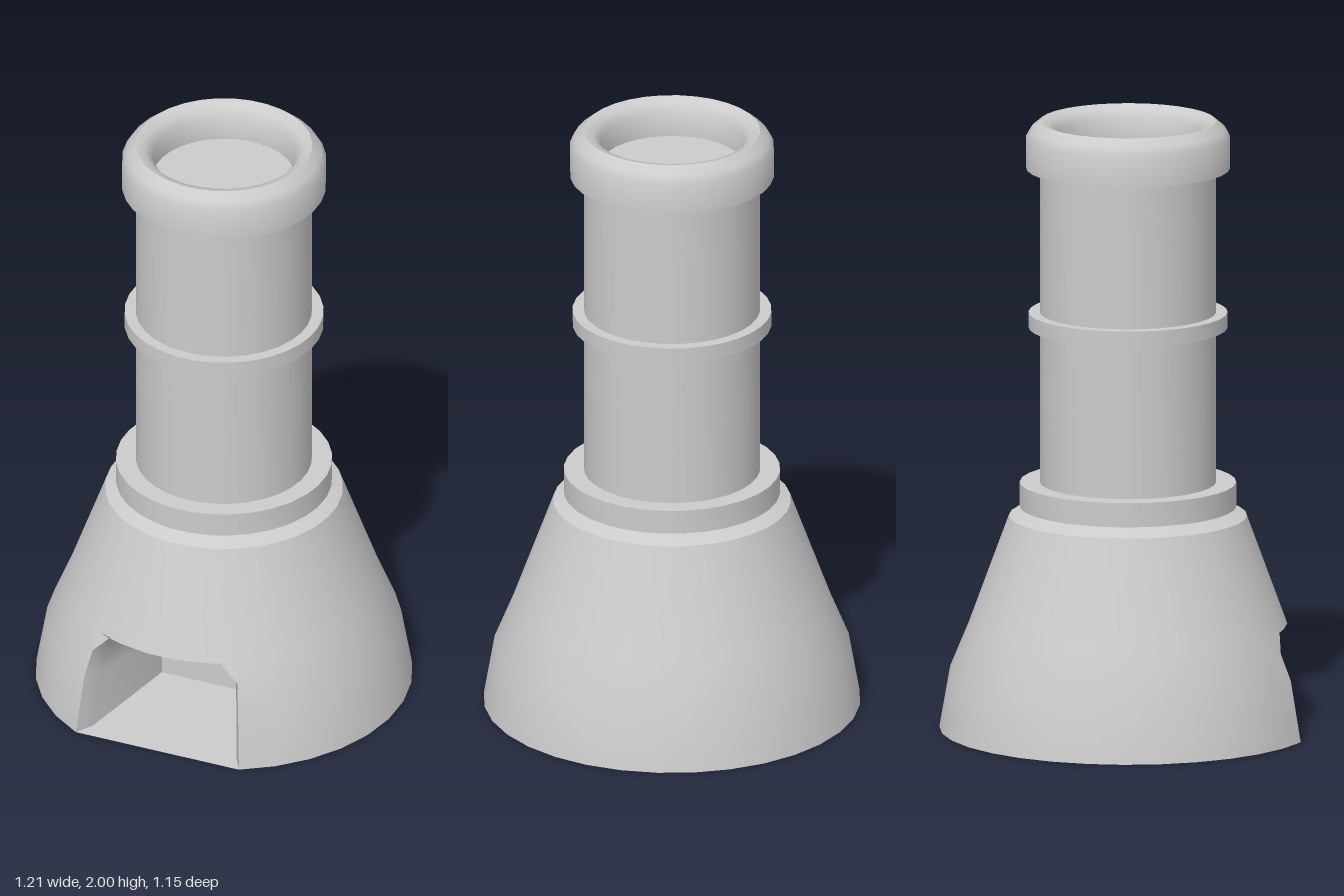
import * as THREE from 'three';
import { mergeGeometries, toCreasedNormals } from 'three/addons/utils/BufferGeometryUtils.js';

const SEG = 32, STEP = Math.PI * 2 / SEG;
const OPEN = 2.5 * STEP;           // half angle of the doorway
const DOOR_TOP = 0.345;
const WALL = [[0.61, 0], [0.575, 0.2], [0.515, DOOR_TOP], [0.385, 0.7], [0.3, 0.73]];

const material = new THREE.MeshStandardMaterial({ color: 0xcccccc, side: THREE.DoubleSide });

function lathe(profile, start = STEP / 2, length = Math.PI * 2) {
  const points = profile.map(([r, y]) => new THREE.Vector2(r, y));
  return new THREE.LatheGeometry(points, Math.round(length / STEP), start, length);
}

function addPart(group, name, geometry, crease = 0.6) {
  const mesh = new THREE.Mesh(toCreasedNormals(geometry, crease), material);
  mesh.name = name;
  group.add(mesh);
}

// Point on the conical wall at a given angle from the front and height
function onWall(angle, y) {
  const i = Math.max(1, WALL.findIndex(p => p[1] >= y));
  const [r0, y0] = WALL[i - 1], [r1, y1] = WALL[i];
  const r = r0 + (r1 - r0) * (y - y0) / (y1 - y0);
  return [r * Math.sin(angle), y, r * Math.cos(angle)];
}

function mirrorOutline(half) {
  return [...half.map(([a, y]) => [-a, y]), ...half.slice().reverse()];
}

// Conical wall: lower band leaves out the doorway, upper band goes all round
function wallGeometry() {
  const lower = lathe(WALL.slice(0, 3), OPEN, Math.PI * 2 - 2 * OPEN);
  const upper = lathe(WALL.slice(2));
  const corners = new THREE.BufferGeometry();
  const points = [];
  for (const s of [-1, 1]) {
    const tri = [onWall(s * OPEN, 0.285), onWall(s * OPEN, DOOR_TOP), onWall(s * 0.39, DOOR_TOP)];
    points.push(...(s > 0 ? tri : tri.reverse()).flat());
  }
  corners.setAttribute('position', new THREE.Float32BufferAttribute(points, 3));
  corners.computeVertexNormals();
  const parts = [lower, upper].map(g => g.toNonIndexed().deleteAttribute('uv'));
  return mergeGeometries([...parts, corners]);
}

// Doorway pocket: three cross-sections from the wall inward, closed at the back
function pocketGeometry() {
  const front = mirrorOutline([[OPEN, 0], [OPEN, 0.2], [OPEN, 0.285], [0.39, DOOR_TOP],
    [1.5 * STEP, DOOR_TOP], [0.5 * STEP, DOOR_TOP]]).map(([a, y]) => onWall(a, y));
  const middle = front.map(([x, y, z]) => [x * 0.88, y * 0.96, z - 0.06]);
  const back = mirrorOutline([[0.18, 0], [0.18, 0.14], [0.18, 0.22], [0.14, 0.27],
    [0.1, 0.27], [0.04, 0.27]]).map(([x, y]) => [x, y, 0.09]);
  const n = front.length, index = [];
  for (let s = 0; s < 2; s++) {
    for (let i = 0; i < n; i++) {
      const a = s * n + i, b = s * n + (i + 1) % n;
      index.push(a, a + n, b, b, a + n, b + n);
    }
  }
  for (let i = 1; i < n - 1; i++) index.push(2 * n, 2 * n + i + 1, 2 * n + i);
  const g = new THREE.BufferGeometry();
  g.setAttribute('position', new THREE.Float32BufferAttribute([...front, ...middle, ...back].flat(), 3));
  g.setIndex(index);
  g.computeVertexNormals();
  return g;
}

function band(radius, bottom, top) {
  return lathe([[0.27, bottom], [radius, bottom], [radius, top], [0.27, top]]);
}

export function createModel() {
  const model = new THREE.Group();
  model.name = 'tower';

  addPart(model, 'baseWall', wallGeometry());
  addPart(model, 'doorwayPocket', pocketGeometry(), 0.9);

  // Column and its bands
  addPart(model, 'column', lathe([[0.285, 0.72], [0.285, 1.87]]));
  addPart(model, 'lowerCollar', band(0.35, 0.73, 0.81));
  addPart(model, 'middleRing', band(0.322, 1.32, 1.37));

  // Rounded rim with a sunken top
  addPart(model, 'topRim', lathe([[0.27, 1.845], [0.33, 1.845], [0.33, 1.95], [0.315, 1.975],
    [0.285, 2], [0.255, 1.99], [0.23, 1.96], [0.23, 1.88]]), 0.95);
  addPart(model, 'topFloor', lathe([[0.24, 1.88], [0, 1.88]]));

  model.position.z = 0.035;
  return model;
}
